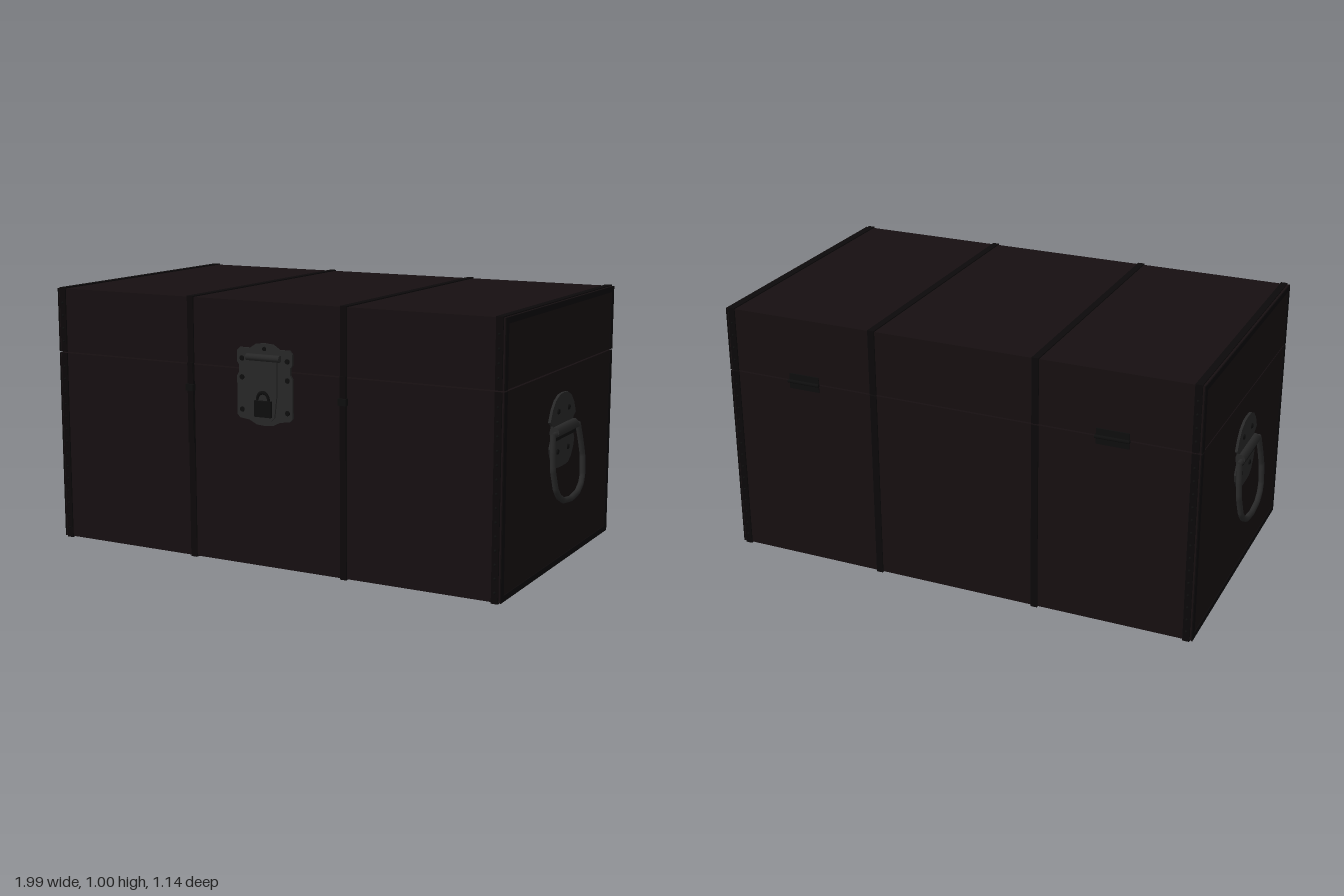
import * as THREE from 'three';

const mat = (color) => new THREE.MeshStandardMaterial({ color });
const leather = mat(0x160f11), trim = mat(0x0c090a), iron = mat(0x282828), dark = mat(0x0e0e0e);

// Trunk extents
const X = 0.935, ZF = 0.543, ZB = -0.557, SEAM0 = 0.743, SEAM1 = 0.748, TOP = 0.996, BOTTOM = 0.004;

function add(parent, name, geo, material, x = 0, y = 0, z = 0) {
  const m = new THREE.Mesh(geo, material);
  m.name = name;
  m.position.set(x, y, z);
  parent.add(m);
  return m;
}

// Box given by its extents on each axis
function block(parent, name, material, x0, x1, y0, y1, z0, z1) {
  return add(parent, name, new THREE.BoxGeometry(x1 - x0, y1 - y0, z1 - z0), material,
    (x0 + x1) / 2, (y0 + y1) / 2, (z0 + z1) / 2);
}

// Flat plate cut from half an outline (x >= 0, top to bottom), mirrored in x
function plate(parent, name, half, depth, material, z) {
  const left = half.filter(([x]) => x > 0).map(([x, y]) => [-x, y]).reverse();
  const shape = new THREE.Shape([...half, ...left].map(([x, y]) => new THREE.Vector2(x, y)));
  const geo = new THREE.ExtrudeGeometry(shape, { depth, bevelEnabled: false });
  return add(parent, name, geo, material, 0, 0, z);
}

function screw(parent, x, y, z, r = 0.011) {
  const m = add(parent, 'screw', new THREE.CylinderGeometry(r * 0.8, r, 0.005, 10), dark, x, y, z);
  m.rotation.x = Math.PI / 2;
}

// Raised band wrapping the trunk, split at the lid seam
function band(parent, x, w) {
  const g = new THREE.Group();
  g.name = 'band';
  const x0 = x - w / 2, x1 = x + w / 2, t = 0.005;
  for (const [y0, y1] of [[0, SEAM0], [SEAM1, 1]]) {
    block(g, 'bandFront', trim, x0, x1, y0, y1, ZF - 0.01, ZF + t);
    block(g, 'bandBack', trim, x0, x1, y0, y1, ZB, ZB + 0.01 - t);
    block(g, 'bandBackFace', trim, x0, x1, y0, y1, ZB - t, ZB);
  }
  block(g, 'bandTop', trim, x0, x1, TOP, 1, ZB - t, ZF + t);
  block(g, 'bandBottom', trim, x0, x1, 0, BOTTOM, ZB - t, ZF + t);
  parent.add(g);
}

// Side handle, facing +z before it is turned to its side
function handle(name) {
  const g = new THREE.Group();
  g.name = name;
  plate(g, 'handlePlate', [
    [0, 0.66], [0.04, 0.657], [0.08, 0.64], [0.11, 0.61], [0.132, 0.567], [0.105, 0.55], [0.105, 0.5],
    [0.123, 0.467], [0.112, 0.435], [0.09, 0.405], [0.06, 0.387], [0.03, 0.384],
  ], 0.01, iron, 0);
  for (const x of [-0.054, 0.054]) for (const y of [0.597, 0.447]) screw(g, x, y, 0.012);

  // Knuckle holding the ring's crossbar
  const knuckle = add(g, 'handleKnuckle', new THREE.CylinderGeometry(0.02, 0.02, 0.208, 10), iron, 0, 0.527, 0.014);
  knuckle.rotation.z = Math.PI / 2;
  block(g, 'knuckleSlot', dark, -0.104, 0.104, 0.496, 0.508, 0.008, 0.022);

  // Hanging ring that leans outwards
  const half = [[0.13, 0.525], [0.147, 0.455], [0.156, 0.395], [0.142, 0.325], [0.118, 0.295], [0.074, 0.272]];
  const outline = [...half, [0, 0.263], ...half.map(([x, y]) => [-x, y]).reverse()];
  const path = new THREE.CurvePath();
  const pts = outline.map(([x, y]) => new THREE.Vector3(x, y, 0.02 + (0.525 - y) * 0.1));
  for (let i = 1; i < pts.length; i++) path.add(new THREE.LineCurve3(pts[i - 1], pts[i]));
  add(g, 'handleRing', new THREE.TubeGeometry(path, 48, 0.0115, 8, false), iron);
  const bar = add(g, 'handleCrossbar', new THREE.CylinderGeometry(0.011, 0.011, 0.27, 8), iron, 0, 0.52, 0.02);
  bar.rotation.z = Math.PI / 2;
  return g;
}

function latch() {
  const g = new THREE.Group();
  g.name = 'latch';
  plate(g, 'latchPlate', [
    [0, 0.845], [0.035, 0.842], [0.062, 0.825], [0.105, 0.825], [0.117, 0.812], [0.117, 0.772], [0.108, 0.76],
    [0.108, 0.735], [0.117, 0.72], [0.117, 0.575], [0.105, 0.563], [0.065, 0.558], [0.035, 0.543], [0, 0.54],
  ], 0.009, iron, ZF);
  for (const x of [-0.096, 0.096]) for (const y of [0.785, 0.715, 0.595]) screw(g, x, y, ZF + 0.01);
  screw(g, 0, 0.825, ZF + 0.01, 0.009);

  // Hasp with its rolled hinge, and the padlock over it
  const roll = add(g, 'haspHinge', new THREE.CylinderGeometry(0.013, 0.013, 0.14, 10), iron, 0, 0.793, ZF + 0.016);
  roll.rotation.z = Math.PI / 2;
  block(g, 'hasp', iron, -0.055, 0.055, 0.66, 0.79, ZF + 0.008, ZF + 0.016);
  plate(g, 'haspTongue', [[0.055, 0.662], [0.045, 0.575], [0.03, 0.56]], 0.008, iron, ZF + 0.008);
  block(g, 'padlockBody', dark, -0.035, 0.035, 0.575, 0.635, ZF + 0.014, ZF + 0.028);
  const shackle = add(g, 'shackle', new THREE.TorusGeometry(0.024, 0.006, 6, 12, Math.PI), dark, 0, 0.637, ZF + 0.022);
  shackle.scale.y = 1.2;
  return g;
}

export function createModel() {
  const root = new THREE.Group();
  root.name = 'trunk';

  // Base and lid, parted by a thin seam
  block(root, 'base', leather, -X, X, BOTTOM, SEAM0, ZB, ZF);
  block(root, 'lid', leather, -X, X, SEAM1, TOP, ZB, ZF);

  for (const x of [-0.915, -0.323, 0.323, 0.915]) band(root, x, 0.026);

  // Edge trim around the end panels
  for (const s of [-1, 1]) {
    const [x0, x1] = s > 0 ? [X, X + 0.004] : [-X - 0.004, -X];
    for (const [z0, z1] of [[ZF - 0.022, ZF + 0.003], [ZB - 0.003, ZB + 0.022]]) {
      block(root, 'endTrim', trim, x0, x1, BOTTOM, SEAM0, z0, z1);
      block(root, 'endTrim', trim, x0, x1, SEAM1, TOP, z0, z1);
    }
    block(root, 'endTrim', trim, x0, x1, BOTTOM, 0.026, ZB, ZF);
    block(root, 'endTrim', trim, x0, x1, TOP - 0.022, TOP, ZB, ZF);

    // Studs down the corner bands
    for (let y = 0.04; y < 0.98; y += 0.05) {
      if (Math.abs(y - 0.745) < 0.01) continue;
      for (const z of [ZF + 0.005, ZB - 0.005])
        add(root, 'stud', new THREE.SphereGeometry(0.005, 6, 4), dark, s * 0.915, y, z);
    }

    // Front closing strap with its loop
    block(root, 'closingStrap', trim, s * 0.323 - 0.012, s * 0.323 + 0.012, 0.445, 0.75, ZF, ZF + 0.011);
    block(root, 'strapLoop', dark, s * 0.323 - 0.016, s * 0.323 + 0.016, 0.645, 0.67, ZF, ZF + 0.019);

    // Back hinge: two thin leaves and a pin
    block(root, 'hingeLeaf', dark, s * 0.615 - 0.062, s * 0.615 + 0.062, 0.715, 0.775, ZB - 0.004, ZB);
    const pin = add(root, 'hingePin', new THREE.CylinderGeometry(0.007, 0.007, 0.13, 8), dark, s * 0.615, 0.745, ZB - 0.008);
    pin.rotation.z = Math.PI / 2;

    const h = handle(s > 0 ? 'leftHandle' : 'rightHandle');
    h.rotation.y = s * Math.PI / 2;
    h.position.x = s * 0.938;
    root.add(h);
  }

  root.add(latch());
  return root;
}
